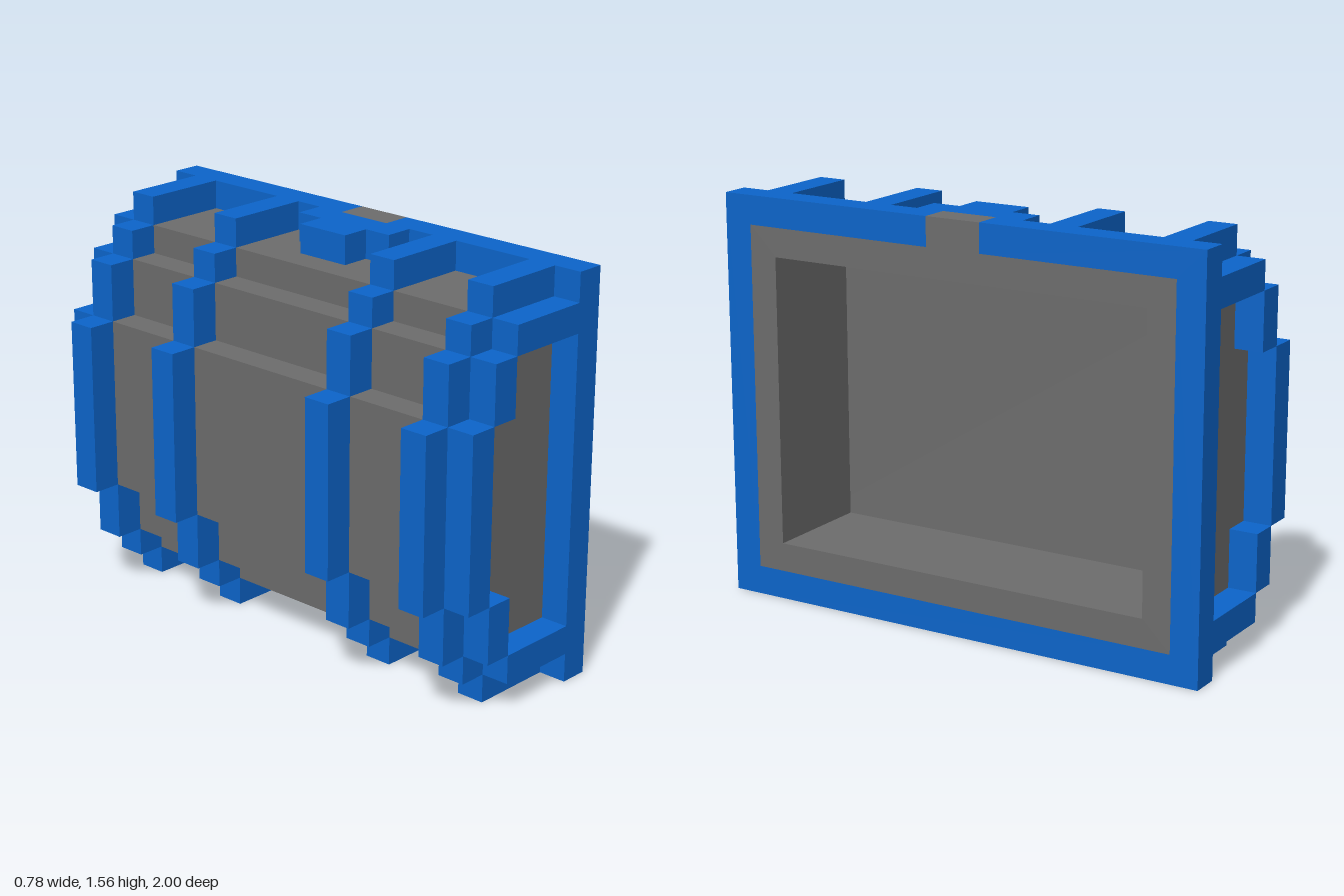
import * as THREE from 'three';

const U = 1 / 9; // one block; the model is 7 x 14 x 18 blocks

export function createModel() {
  const model = new THREE.Group();
  model.name = 'ribbedCase';

  const grey = new THREE.MeshStandardMaterial({ color: 0x6d6d6d });
  grey.name = 'grey';
  const blue = new THREE.MeshStandardMaterial({ color: 0x0c65cb });
  blue.name = 'blue';

  // Block coordinates: x 0..7, y 0..14, z 0..18
  function box(parent, name, material, x0, x1, y0, y1, z0, z1) {
    const mesh = new THREE.Mesh(new THREE.BoxGeometry((x1 - x0) * U, (y1 - y0) * U, (z1 - z0) * U), material);
    mesh.position.set(((x0 + x1) / 2 - 3.5) * U, ((y0 + y1) / 2) * U, ((z0 + z1) / 2 - 9) * U);
    mesh.name = name;
    parent.add(mesh);
  }

  // Outline in the z-y plane, extruded along x
  const points = (list) => list.map(([z, y]) => new THREE.Vector2((z - 9) * U, y * U));
  function panel(name, material, outline, hole, x0, x1) {
    const shape = new THREE.Shape(points(outline));
    if (hole) shape.holes.push(new THREE.Path(points(hole)));
    const geometry = new THREE.ExtrudeGeometry(shape, { depth: (x1 - x0) * U, bevelEnabled: false });
    geometry.rotateY(Math.PI / 2);
    geometry.translate((x0 - 3.5) * U, 0, 0);
    const mesh = new THREE.Mesh(geometry, material);
    mesh.name = name;
    model.add(mesh);
  }

  // Hollow body, open to the side, with a stepped back
  panel('bodyWalls', grey,
    [[1, 1], [17, 1], [17, 13], [1, 13]],
    [[2, 2], [2, 12], [16, 12], [16, 2]], 3, 7);
  box(model, 'bodyFloor', grey, 2, 3, 2, 12, 1, 17);
  box(model, 'bodyBack', grey, 1, 2, 4, 10, 1, 17);

  // Rim around the opening, with a gap for the catch
  panel('rim', blue,
    [[0, 0], [18, 0], [18, 14], [10, 14], [10, 13], [17, 13], [17, 1],
      [1, 1], [1, 13], [8, 13], [8, 14], [0, 14]], null, 6, 7);
  box(model, 'catch', grey, 6, 7, 13, 14, 8, 10);

  // Stepped latch on top
  box(model, 'latchBase', blue, 5, 6, 13, 14, 7, 11);
  box(model, 'latchTip', blue, 4, 5, 13, 14, 8, 10);

  // Ribs wrapping the body
  for (const z of [1, 5, 12, 16]) {
    const rib = new THREE.Group();
    rib.name = 'rib';
    model.add(rib);
    box(rib, 'ribBack', blue, 0, 1, 4, 10, z, z + 1);
    for (const m of [(a, b) => [a, b], (a, b) => [14 - b, 14 - a]]) { // top, then bottom
      box(rib, 'ribArm', blue, 3, 6, ...m(13, 14), z, z + 1);
      box(rib, 'ribCorner', blue, 2, 3, ...m(12, 13), z, z + 1);
      box(rib, 'ribStep', blue, 1, 2, ...m(10, 12), z, z + 1);
    }
  }

  // Raised borders on the two ends
  for (const z of [0, 17]) {
    const border = new THREE.Group();
    border.name = 'endBorder';
    model.add(border);
    box(border, 'borderBack', blue, 1, 2, 4, 10, z, z + 1);
    for (const m of [(a, b) => [a, b], (a, b) => [14 - b, 14 - a]]) {
      box(border, 'borderArm', blue, 3, 6, ...m(12, 13), z, z + 1);
      box(border, 'borderStep', blue, 2, 3, ...m(10, 12), z, z + 1);
    }
  }

  return model;
}
